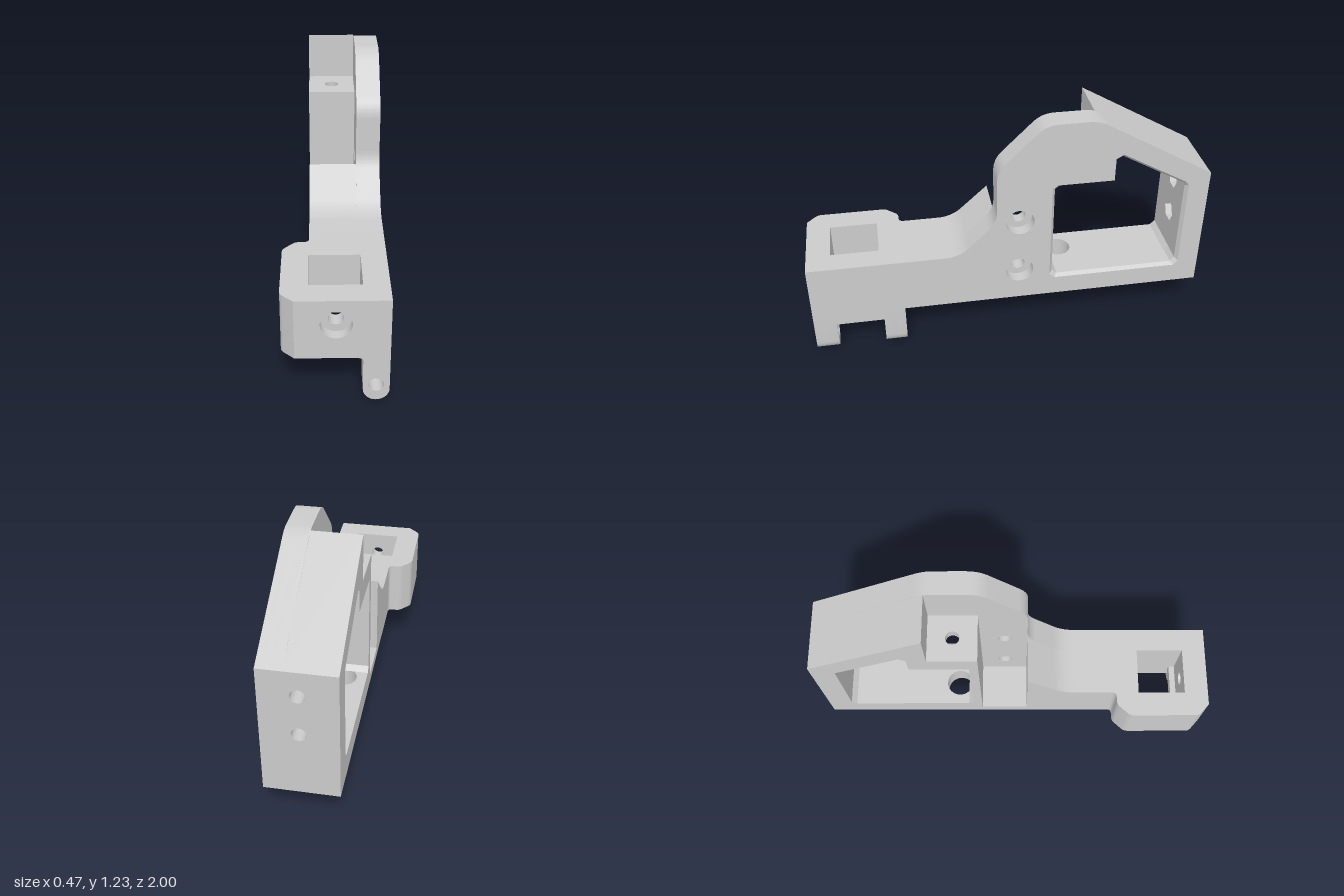
import * as THREE from 'three';
import { toCreasedNormals } from 'three/addons/utils/BufferGeometryUtils.js';

const material = new THREE.MeshStandardMaterial({ color: 0xcccccc });
const thinMaterial = new THREE.MeshStandardMaterial({ color: 0xcccccc, side: THREE.DoubleSide });

// Main levels and widths
const X0 = -0.117, X1 = 0.117, X2 = 0.235;
const BASE = 0.23, DECK = 0.525;

// Closed outline from [a, b, r] points; r rounds that corner
function outline(points, Type = THREE.Shape) {
  const s = new Type();
  const n = points.length;
  const toward = (p, q, d) => {
    const l = Math.hypot(q[0] - p[0], q[1] - p[1]);
    return [p[0] + (q[0] - p[0]) * d / l, p[1] + (q[1] - p[1]) * d / l];
  };
  points.forEach((p, i) => {
    const r = p[2] || 0;
    const a = toward(p, points[(i + n - 1) % n], r);
    if (i === 0) s.moveTo(...a); else s.lineTo(...a);
    if (r) s.quadraticCurveTo(p[0], p[1], ...toward(p, points[(i + 1) % n], r));
  });
  s.closePath();
  return s;
}

const rect = (a0, b0, a1, b1) => [[a0, b0], [a1, b0], [a1, b1], [a0, b1]];

function roundHole(a, b, r) {
  const p = new THREE.Path();
  p.absarc(a, b, r, 0, Math.PI * 2, true);
  return p;
}

function hexHole(a, b, r) {
  const pts = [];
  for (let i = 0; i < 6; i++) pts.push([a + r * Math.cos(i * Math.PI / 3), b + r * Math.sin(i * Math.PI / 3)]);
  return outline(pts, THREE.Path);
}

// Extrude an outline along an axis: x uses (z, y), y uses (x, z), z uses (x, y)
function slab(name, axis, points, from, to, holes = []) {
  const shape = outline(points);
  shape.holes.push(...holes);
  let g = new THREE.ExtrudeGeometry(shape, { depth: to - from, bevelEnabled: false, curveSegments: 16 });
  if (axis === 'x') g.rotateY(-Math.PI / 2).translate(to, 0, 0);
  if (axis === 'y') g.rotateX(Math.PI / 2).translate(0, to, 0);
  if (axis === 'z') g.translate(0, 0, from);
  g = toCreasedNormals(g, 0.5);
  const mesh = new THREE.Mesh(g, material);
  mesh.name = name;
  return mesh;
}

// Sloped band joining two (z, y) loops at two x positions
function chamferBand(loopA, xa, loopB, xb) {
  const pos = [];
  loopA.forEach((a, i) => {
    const j = (i + 1) % loopA.length;
    const p = [xa, a[1], a[0]], q = [xa, loopA[j][1], loopA[j][0]];
    const r = [xb, loopB[i][1], loopB[i][0]], s = [xb, loopB[j][1], loopB[j][0]];
    pos.push(...p, ...q, ...r, ...q, ...s, ...r);
  });
  const g = new THREE.BufferGeometry();
  g.setAttribute('position', new THREE.Float32BufferAttribute(pos, 3));
  g.computeVertexNormals();
  const mesh = new THREE.Mesh(g, thinMaterial);
  mesh.name = 'windowChamfer';
  return mesh;
}

function sidePlate() {
  const group = new THREE.Group();
  group.name = 'sidePlate';
  const profile = [[0.5, BASE], [0.5, DECK], [0.25, DECK, 0.07], [0.06, 0.715, 0.06], [0.06, 1.0, 0.06],
    [-0.17, 1.228, 0.06], [-0.42, 1.228, 0.05], [-1, 0.89], [-1, BASE]];
  const win = [[-0.25, 0.345], [-0.225, 0.37], [-0.225, 0.865], [-0.25, 0.885], [-0.515, 0.885],
    [-0.515, 1.0], [-0.55, 1.02], [-0.865, 0.84], [-0.88, 0.82], [-0.88, 0.37], [-0.86, 0.345]];
  const wide = win.map(([z, y]) => [-0.555 + (z + 0.555) * 1.045, 0.63 + (y - 0.63) * 1.045]);
  const layer = (x0, x1, loop, r) => group.add(slab('plateLayer', 'x', profile, x0, x1,
    [outline(loop, THREE.Path), roundHole(-0.055, 0.405, r), roundHole(-0.055, 0.7, r)]));
  layer(X1, 0.175, win, 0.035);
  layer(0.175, 0.215, win, 0.07);
  layer(0.215, X2, wide, 0.07);
  group.add(chamferBand(wide, X2, win, 0.215));
  return group;
}

function core() {
  const group = new THREE.Group();
  group.name = 'core';
  // Ramp, open slot and the wall in front of the window
  group.add(slab('rampAndSlot', 'x', [[0.5, BASE], [0.5, DECK], [0.25, DECK, 0.07], [0.06, 0.7], [0.06, 0.28],
    [-0.18, 0.28], [-0.18, 0.995], [-0.225, 0.995], [-0.225, BASE]], X0, X1));
  // Window floor and the drilled shelf above it
  group.add(slab('windowFloor', 'y', rect(X0, -0.88, X1, -0.225), BASE, 0.345, [roundHole(0, -0.3, 0.068)]));
  const shelf = rect(X0, -0.42, X1, -0.225);
  group.add(slab('shelfLower', 'y', shelf, 0.885, 0.945, [roundHole(0, -0.3, 0.068)]));
  group.add(slab('shelfUpper', 'y', shelf, 0.945, 0.995, [roundHole(0, -0.3, 0.034)]));
  // Sloping roof
  group.add(slab('roof', 'x', [[-0.42, 0.885], [-0.42, 1.225], [-1, 0.89], [-1, 0.83], [-0.88, 0.83],
    [-0.55, 1.02], [-0.515, 1.0], [-0.515, 0.885]], X0, X1));
  // Back wall with two bolt holes and nut pockets
  const wall = rect(X0, BASE, X1, 0.83);
  const bolts = [0.563, 0.767];
  group.add(slab('backWall', 'z', wall, -1, -0.93, bolts.map((y) => roundHole(0.06, y, 0.034))));
  group.add(slab('nutPocketWall', 'z', wall, -0.93, -0.88, bolts.map((y) => hexHole(0.06, y, 0.056))));
  // Bevelled lower corners of the window
  for (const [z, d] of [[-0.225, -0.025], [-0.88, 0.025]]) {
    group.add(slab('cornerFillet', 'x', [[z, 0.345], [z + d, 0.345], [z, 0.37]], X0, X1));
  }
  return group;
}

function frontBlock() {
  const group = new THREE.Group();
  group.name = 'frontBlock';
  // Rear and sides of the square pocket
  group.add(slab('pocketSurround', 'y', [[X0, 0.5], [X0, 0.525, 0.025], [-0.18, 0.525, 0.02], [-0.24, 0.59, 0.02],
    [-0.24, 0.88], [X0, 0.88], [X0, 0.64], [X1, 0.64], [X1, 0.88], [X2, 0.88], [X2, 0.5]], BASE, DECK));
  // Front wall with counterbored hole and bevelled corner
  const wall = rect(-0.18, BASE, X2, DECK);
  group.add(slab('frontWallInner', 'z', wall, 0.88, 0.95, [roundHole(0, 0.405, 0.034)]));
  group.add(slab('frontWallOuter', 'z', wall, 0.95, 1, [roundHole(0, 0.405, 0.07)]));
  group.add(slab('frontCorner', 'y', [[-0.18, 0.88], [-0.24, 0.88], [-0.24, 0.945, 0.02], [-0.18, 1]], BASE, DECK));
  // Ledges at the bottom of the pocket
  for (const z of [0.64, 0.85]) group.add(slab('pocketLedge', 'y', rect(X0, z, X1, z + 0.03), BASE, 0.28));
  return group;
}

function hingeLugs() {
  const group = new THREE.Group();
  group.name = 'hingeLugs';
  const mid = (X1 + X2) / 2, r = (X2 - X1) / 2;
  const profile = [[0.09, BASE], [X1, BASE - 0.006, 0.012], [X1, r]];
  for (let i = 1; i <= 16; i++) {
    const a = Math.PI + i * Math.PI / 16;
    profile.push([mid + r * Math.cos(a), r + r * Math.sin(a)]);
  }
  profile.push([X2, BASE]);
  const pin = () => [roundHole(mid, 0.083, 0.034)];
  group.add(slab('frontLug', 'z', profile, 0.885, 1, pin()));
  group.add(slab('rearLug', 'z', profile, 0.585, 0.645, pin()));
  group.add(slab('rearLugNutPocket', 'z', profile, 0.535, 0.585, [hexHole(mid, 0.083, 0.05)]));
  group.add(slab('lugBridge', 'x', rect(0.645, 0.17, 0.885, BASE), X1, X2));
  return group;
}

export function createModel() {
  const model = new THREE.Group();
  model.name = 'bracket';
  model.add(sidePlate(), core(), frontBlock(), hingeLugs());
  return model;
}
